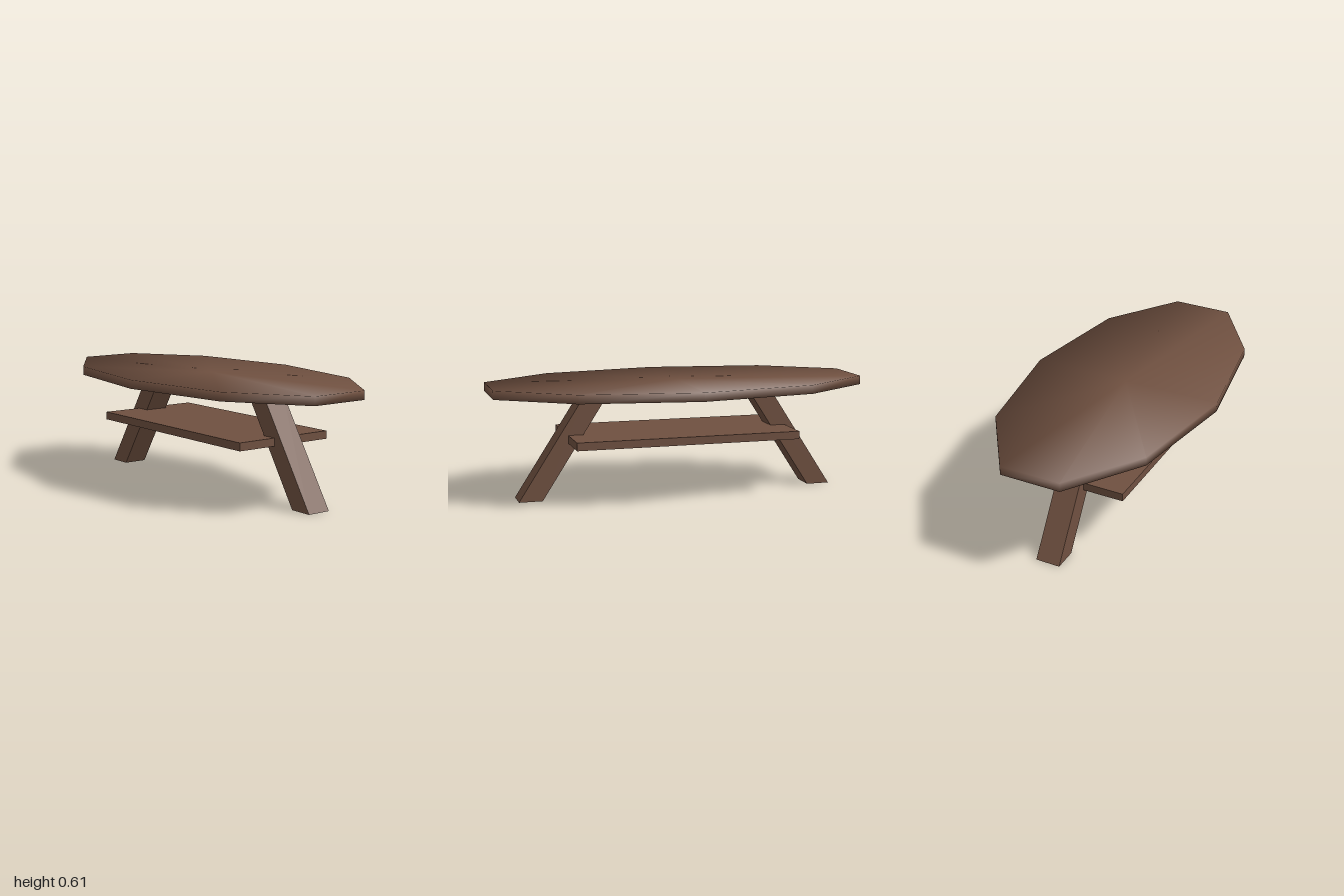
import * as THREE from 'three';

const wood = new THREE.MeshStandardMaterial({ color: 0x6f5040 });
wood.name = 'brown wood';

function addPart(group, name, geometry) {
  const mesh = new THREE.Mesh(geometry, wood);
  mesh.name = name;
  group.add(mesh);
  return mesh;
}

// Ten-sided oval slab whose rim normals blend the flat faces into the edge
function tabletopGeometry() {
  const rx = 1.051, rz = 0.52, thickness = 0.046;
  const geo = new THREE.CylinderGeometry(1, 1, thickness, 10);
  geo.scale(rx, 1, rz);
  const pos = geo.attributes.position, normal = geo.attributes.normal;
  const tilt = THREE.MathUtils.degToRad(50);
  const n = new THREE.Vector3();
  for (let i = 0; i < pos.count; i++) {
    const x = pos.getX(i), y = pos.getY(i), z = pos.getZ(i);
    if (Math.hypot(x, z) < 0.01) continue; // cap centres stay vertical
    n.set(x / (rx * rx), 0, z / (rz * rz)).normalize().multiplyScalar(Math.sin(tilt));
    n.y = Math.sign(y) * Math.cos(tilt);
    normal.setXYZ(i, n.x, n.y, n.z);
  }
  return geo;
}

// Slanted leg: a parallelogram seen from the front, extruded in depth
function legGeometry(side) {
  const corners = [[0.74, 0], [0.865, 0], [0.503, 0.56], [0.378, 0.56]];
  const shape = new THREE.Shape(corners.map(([x, y]) => new THREE.Vector2(side * x, y)));
  const geo = new THREE.ExtrudeGeometry(shape, { depth: 0.13, bevelEnabled: false });
  return geo.translate(0, 0, -0.065);
}

export function createModel() {
  const table = new THREE.Group();
  table.name = 'table';

  addPart(table, 'tabletop', tabletopGeometry()).position.y = 0.583;
  addPart(table, 'leftLeg', legGeometry(1));
  addPart(table, 'rightLeg', legGeometry(-1));

  // Low shelf running through both legs
  addPart(table, 'shelf', new THREE.BoxGeometry(1.2, 0.042, 0.57)).position.y = 0.32;

  return table;
}
